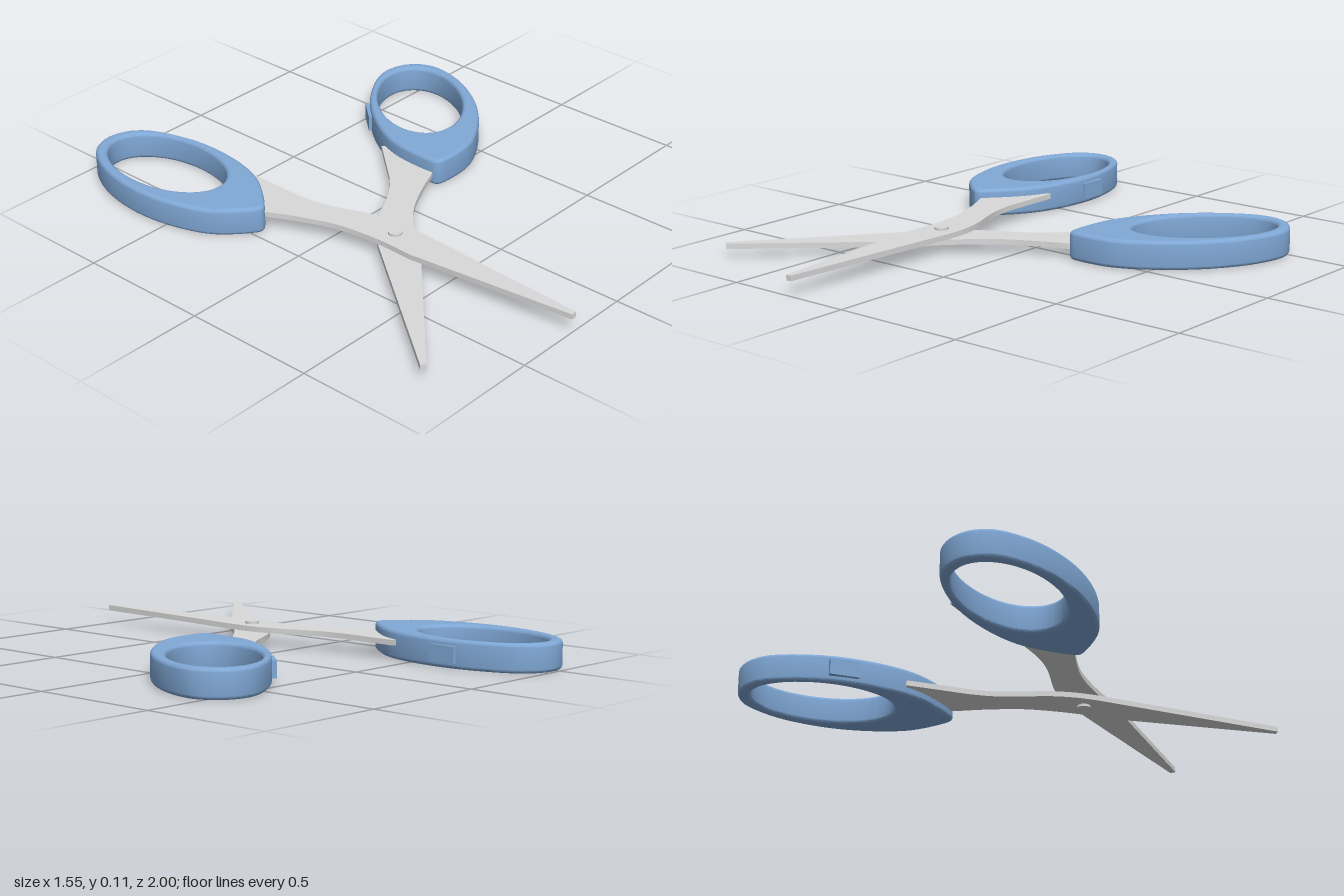
import * as THREE from 'three';
import { toCreasedNormals } from 'three/addons/utils/BufferGeometryUtils.js';

const PIVOT = [-0.2525, 0.23];  // x, z of the rivet
const MID = 0.0525;             // height of the plane between the blades

// Plan coordinates (x, z) to shape coordinates around the pivot
const P = ([x, z]) => new THREE.Vector2(x - PIVOT[0], PIVOT[1] - z);

// Smooth closed loop through plan points
function closedLoop(points, count) {
  const curve = new THREE.CatmullRomCurve3(
    points.map(p => new THREE.Vector3(P(p).x, P(p).y, 0)), true, 'centripetal');
  return curve.getPoints(count).slice(0, -1).map(v => new THREE.Vector2(v.x, v.y));
}

// Flat slab from y0 to y1 with rounded or sharp edges
function slab(shape, y0, y1, bevel, curveSegments = 12) {
  const extruded = new THREE.ExtrudeGeometry(shape, {
    depth: y1 - y0 - 2 * bevel, curveSegments, bevelEnabled: bevel > 0,
    bevelSize: bevel, bevelThickness: bevel, bevelOffset: -bevel, bevelSegments: 4,
  });
  extruded.rotateX(-Math.PI / 2);
  extruded.translate(0, y0 + bevel, 0);
  const geo = toCreasedNormals(extruded, 0.6);
  // Keep the top and bottom faces evenly flat
  const { position, normal } = geo.attributes;
  for (let i = 0; i < geo.groups[0].count; i++) {
    normal.setXYZ(i, 0, Math.sign(position.getY(i) - (y0 + y1) / 2), 0);
  }
  return geo;
}

function addMesh(parent, name, geo, material) {
  const mesh = new THREE.Mesh(geo, material);
  mesh.name = name;
  parent.add(mesh);
  return mesh;
}

// One half: blade with tang, finger loop and side tab
function makeHalf(name, steel, plastic) {
  const half = new THREE.Group();
  half.name = name;

  const blade = new THREE.Shape();
  const start = P([-0.286, -0.434]);
  blade.moveTo(start.x, start.y);
  const line = p => blade.lineTo(P(p).x, P(p).y);
  line([-0.286, -0.2]);
  blade.splineThru([[-0.277, -0.12], [-0.254, -0.037], [-0.21, 0.08],
    [-0.191, 0.175], [-0.188, 0.265]].map(P));
  line([-0.233, 1.0]);
  line([-0.254, 1.0]);
  line([-0.325, 0.36]);
  blade.splineThru([[-0.323, 0.21], [-0.344, 0.04], [-0.392, -0.095],
    [-0.444, -0.206], [-0.46, -0.26]].map(P));
  line([-0.42, -0.405]);
  line([-0.36, -0.415]);
  addMesh(half, 'blade', slab(blade, 0.0005, 0.0205, 0), steel);

  const loop = new THREE.Shape(closedLoop([
    [-0.466, -1.0], [-0.395, -0.978], [-0.339, -0.922], [-0.284, -0.767],
    [-0.272, -0.61], [-0.298, -0.44], [-0.342, -0.34], [-0.45, -0.21],
    [-0.466, -0.204], [-0.485, -0.21], [-0.598, -0.317], [-0.656, -0.46],
    [-0.677, -0.635], [-0.648, -0.82], [-0.58, -0.95], [-0.53, -0.987],
  ], 112));
  // The outline runs clockwise, so the hole runs the other way
  const c = P([-0.466, -0.692]);
  const hole = new THREE.Path();
  hole.absellipse(c.x, c.y, 0.161, 0.264, 0, Math.PI * 2, false);
  loop.holes.push(hole);
  addMesh(half, 'fingerLoop', slab(loop, -MID, MID, 0.014, 64), plastic);

  const tab = addMesh(half, 'sideTab', new THREE.BoxGeometry(0.03, 0.06, 0.108), plastic);
  tab.position.set(-0.274 - PIVOT[0], 0, -0.667 - PIVOT[1]);

  half.position.set(PIVOT[0], MID, PIVOT[1]);
  return half;
}

export function createModel() {
  const steel = new THREE.MeshStandardMaterial({ color: 0xd9d9d9 });
  steel.name = 'steel grey';
  const plastic = new THREE.MeshStandardMaterial({ color: 0x80a8d6 });
  plastic.name = 'handle blue';

  const model = new THREE.Group();
  model.name = 'scissors';

  const upper = makeHalf('upperHalf', steel, plastic);
  // The lower half is the same part flipped over and swung open
  const lower = makeHalf('lowerHalf', steel, plastic);
  lower.rotation.set(0, -41.35 * Math.PI / 180, Math.PI);
  model.add(upper, lower);

  // Rivet through both blades
  const rivet = addMesh(model, 'rivet', new THREE.CylinderGeometry(0.025, 0.025, 0.06, 32), steel);
  rivet.position.set(PIVOT[0], MID, PIVOT[1]);

  return model;
}
